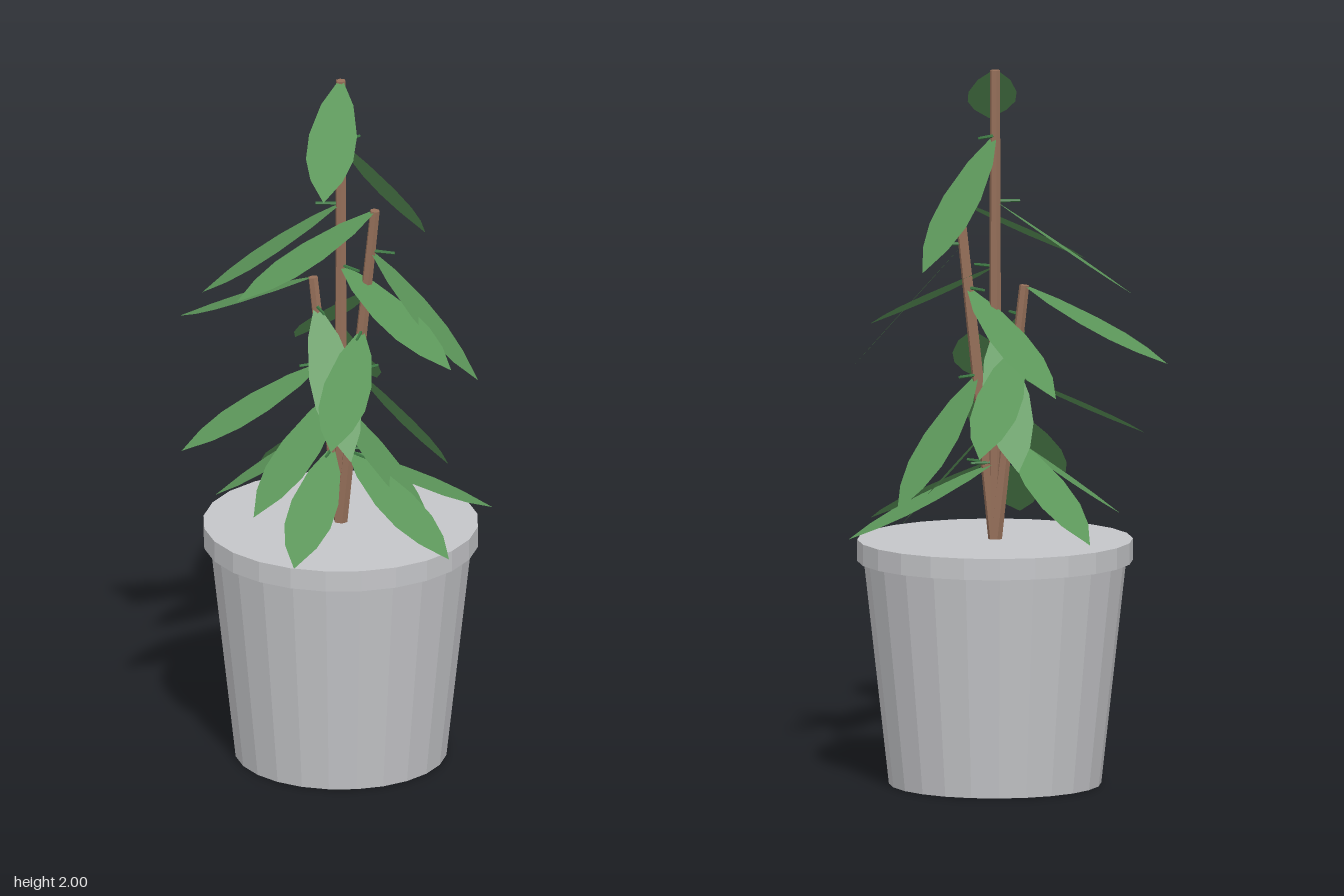
import * as THREE from 'three';

const RAD = Math.PI / 180;
const mat = (name, color, extra = {}) => {
  const m = new THREE.MeshStandardMaterial({ color, ...extra });
  m.name = name;
  return m;
};

export function createModel() {
  const potGrey = mat('pot grey', 0xc4c5c8, { flatShading: true });
  const bark = mat('bark brown', 0x96705a, { flatShading: true });
  const stalkGreen = mat('stalk green', 0x3f7a45, { flatShading: true });
  const leafGreen = mat('leaf green', 0x5c965a, { side: THREE.DoubleSide });

  const model = new THREE.Group();
  model.name = 'pottedPlant';
  const root = new THREE.Vector3(0.023, 0.68, -0.03);

  const add = (name, geometry, material, parent = model) => {
    const mesh = new THREE.Mesh(geometry, material);
    mesh.name = name;
    parent.add(mesh);
    return mesh;
  };

  // Tapered pot with a wider rim and a closed top
  add('potBody', new THREE.CylinderGeometry(0.365, 0.295, 0.63, 24), potGrey).position.set(root.x, 0.315, root.z);
  add('potRim', new THREE.CylinderGeometry(0.383, 0.383, 0.06, 24), potGrey).position.set(root.x, 0.655, root.z);

  // Flat pointed leaf lying along +z, length 1 scaled to 0.47
  const halfWidths = [[0.2, 0.045], [0.45, 0.067], [0.65, 0.066], [0.82, 0.045]];
  const L = 0.47;
  const outline = new THREE.Shape();
  outline.moveTo(-0.006, 0);
  halfWidths.forEach(([t, w]) => outline.lineTo(-w, t * L));
  outline.lineTo(0, L);
  [...halfWidths].reverse().forEach(([t, w]) => outline.lineTo(w, t * L));
  outline.lineTo(0.006, 0);
  const leafGeo = new THREE.ShapeGeometry(outline);
  leafGeo.rotateX(Math.PI / 2);
  leafGeo.scale(1, -1, 1);
  // Mirroring in y leaves the flat leaf unchanged; set the winding to face up
  const idx = leafGeo.index.array;
  for (let i = 0; i < idx.length; i += 3) [idx[i], idx[i + 1]] = [idx[i + 1], idx[i]];
  leafGeo.computeVertexNormals();

  // Short horizontal stalk running along +z
  const stalkGeo = new THREE.CylinderGeometry(0.004, 0.005, 0.07, 5);
  stalkGeo.rotateX(Math.PI / 2);
  stalkGeo.translate(0, 0, 0.035);

  // Each stem carries seven leaves in a golden-angle spiral, from the tip down
  const droop = [25, 48.5, 35];
  const stems = [
    { name: 'tallStem', tip: [0.023, 2.0, -0.03], turn: -15 },
    { name: 'middleStem', tip: [0.11, 1.63, 0.03], turn: -72.7 },
    { name: 'shortStem', tip: [-0.048, 1.4, -0.075], turn: -128 },
  ];
  for (const { name, tip, turn } of stems) {
    const end = new THREE.Vector3(...tip);
    const axis = end.clone().sub(root);
    const stem = add(name, new THREE.CylinderGeometry(0.014, 0.019, axis.length(), 6), bark);
    stem.position.copy(root).lerp(end, 0.5);
    stem.quaternion.setFromUnitVectors(new THREE.Vector3(0, 1, 0), axis.normalize());

    for (let i = 0; i < 7; i++) {
      const y = THREE.MathUtils.lerp(end.y, 0.9, i / 6);
      const spray = new THREE.Group();
      spray.name = name + 'Leaf' + (i + 1);
      spray.position.copy(root).lerp(end, (y - root.y) / (end.y - root.y));
      spray.rotation.y = (turn + 137.5 * i) * RAD;
      if (i > 0) add('leafStalk', stalkGeo, stalkGreen, spray);
      add('leafBlade', leafGeo, leafGreen, spray).rotation.x = droop[i % 3] * RAD;
      model.add(spray);
    }
  }
  return model;
}
